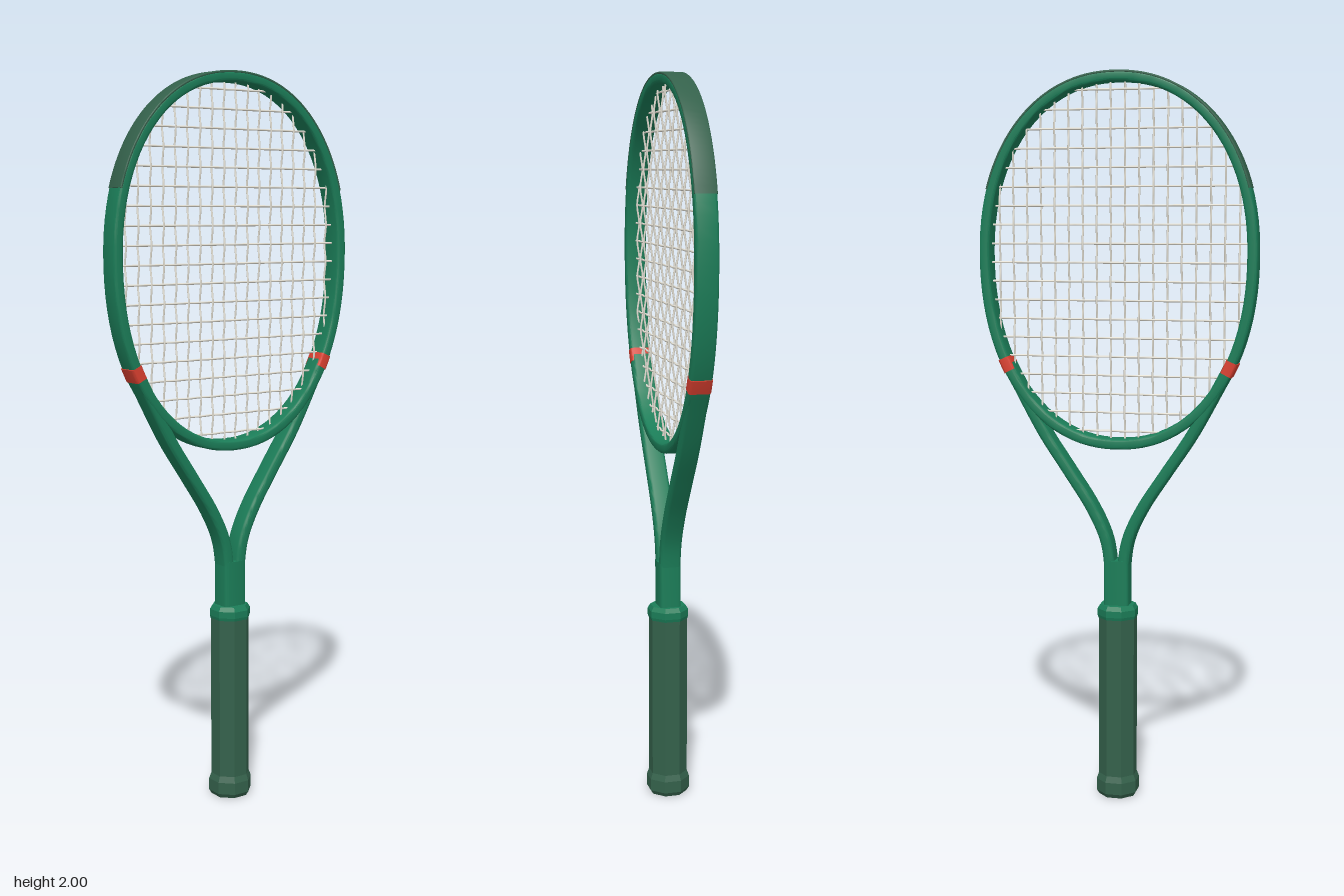
import * as THREE from 'three';
import { toCreasedNormals } from 'three/addons/utils/BufferGeometryUtils.js';

const HEAD = { y: 1.515, rx: 0.369, top: 0.47, bottom: 0.515, power: 2.15 };

// Centreline of the head, an oval slightly fuller than an ellipse
function headPoint(angle) {
  const c = Math.cos(angle), s = Math.sin(angle), n = HEAD.power;
  const r = (Math.abs(c) ** n + Math.abs(s) ** n) ** (-1 / n);
  return new THREE.Vector2(HEAD.rx * c * r, HEAD.y + s * r * (s > 0 ? HEAD.top : HEAD.bottom));
}

// Other coordinate on the oval for a given one, both as fractions of the radii
const ovalReach = (f) => (1 - Math.abs(f) ** HEAD.power) ** (1 / HEAD.power);

function headArc(from, to, steps) {
  return Array.from({ length: steps + 1 }, (_, i) => headPoint(from + ((to - from) * i) / steps));
}

// Rounded rectangle outline, counter-clockwise
function roundedSection(w, d, r) {
  const out = [];
  [[1, 1], [-1, 1], [-1, -1], [1, -1]].forEach(([sx, sy], q) => {
    for (let i = 0; i <= 3; i++) {
      const a = (q + i / 3) * Math.PI / 2;
      out.push([sx * (w / 2 - r) + r * Math.cos(a), sy * (d / 2 - r) + r * Math.sin(a)]);
    }
  });
  return out;
}

// Sweep a rounded bar along a path in the XY plane
function sweep(path, w, d, r, { closed = false, offset = 0 } = {}) {
  const section = roundedSection(w, d, r), m = section.length, n = path.length;
  const pos = [], index = [];
  path.forEach((p, i) => {
    const before = path[closed ? (i + n - 2) % (n - 1) : Math.max(i - 1, 0)];
    const after = path[closed ? (i + 1) % (n - 1) : Math.min(i + 1, n - 1)];
    const t = after.clone().sub(before).normalize();
    for (const [u, v] of section) pos.push(p.x + t.y * (u + offset), p.y - t.x * (u + offset), v);
  });
  for (let i = 0; i < n - 1; i++) {
    for (let k = 0; k < m; k++) {
      const a = i * m + k, b = i * m + (k + 1) % m;
      index.push(a, a + m, b + m, a, b + m, b);
    }
  }
  if (!closed) {
    const e = (n - 1) * m;
    for (let k = 1; k < m - 1; k++) index.push(0, k, k + 1, e, e + k + 1, e + k);
  }
  const g = new THREE.BufferGeometry();
  g.setAttribute('position', new THREE.Float32BufferAttribute(pos, 3));
  g.setIndex(index);
  return toCreasedNormals(g, 0.7);
}

// Eight-sided turned part from [apothem, y] pairs, flat to the front
function octagonal(profile) {
  const k = 1 / Math.cos(Math.PI / 8);
  const pts = profile.map(([r, y]) => new THREE.Vector2(r * k, y));
  return toCreasedNormals(new THREE.LatheGeometry(pts, 8, Math.PI / 8), 0.2);
}

export function createModel() {
  const mat = (name, color) => {
    const m = new THREE.MeshStandardMaterial({ color });
    m.name = name;
    return m;
  };
  const green = mat('frame green', 0x1b7d58);
  const dark = mat('grip dark green', 0x34614b);
  const red = mat('accent red', 0xdb4030);
  const cream = mat('string cream', 0xe8e4d8);

  const root = new THREE.Group();
  root.name = 'racket';
  const add = (name, geometry, material, parent = root) => {
    const mesh = new THREE.Mesh(geometry, material);
    mesh.name = name;
    parent.add(mesh);
  };

  // Head ring and the guard over its top
  add('headFrame', sweep(headArc(0, Math.PI * 2, 96), 0.028, 0.06, 0.007, { closed: true }), green);
  add('bumperGuard', sweep(headArc(0.37, Math.PI - 0.37, 56), 0.007, 0.0605, 0.003, { offset: 0.0115 }), dark);

  // Shaft, throat arms and red bands
  const shaft = [new THREE.Vector2(0, 0.5), new THREE.Vector2(0, 0.675)];
  add('shaft', sweep(shaft, 0.07, 0.06, 0.01), green);
  const bandAngle = -0.61;
  const joint = headPoint(bandAngle);
  const arm = [[0.018, 0.58], [0.019, 0.66], [0.033, 0.74], [0.073, 0.825],
    [0.135, 0.92], [0.208, 1.03], [0.279, 1.16], [joint.x - 0.002, joint.y]];
  for (const [side, name] of [[1, 'left'], [-1, 'right']]) {
    const curve = new THREE.SplineCurve(arm.map(([x, y]) => new THREE.Vector2(x * side, y)));
    add(name + 'ThroatArm', sweep(curve.getPoints(48), 0.031, 0.058, 0.009), green);
    const mid = side > 0 ? bandAngle : Math.PI - bandAngle;
    add(name + 'AccentBand', sweep(headArc(mid - 0.04, mid + 0.04, 4), 0.033, 0.0615, 0.007), red);
  }

  // Handle: octagonal grip with flared butt, and collar
  add('grip', octagonal([[0, 0], [0.049, 0], [0.056, 0.012], [0.056, 0.045], [0.05, 0.062],
    [0.05, 0.52], [0, 0.52]]), dark);
  add('collar', octagonal([[0, 0.512], [0.051, 0.512], [0.053, 0.52], [0.053, 0.538],
    [0.046, 0.55], [0, 0.55]]), green);

  // Woven string bed
  const strings = new THREE.Group();
  strings.name = 'strings';
  root.add(strings);
  const dx = 0.039, dy = 0.051, weave = 0.003, mains = 18, crosses = 19;
  const y0 = 1.493 - dy * (crosses - 1) / 2, x0 = -dx * (mains - 1) / 2;
  const addString = (name, from, to, pointAt) => {
    const pts = Array.from({ length: 41 }, (_, i) => pointAt(from + ((to - from) * i) / 40));
    add(name, new THREE.TubeGeometry(new THREE.CatmullRomCurve3(pts), 80, 0.0028, 6), cream, strings);
  };
  for (let i = 0; i < mains; i++) {
    const x = x0 + i * dx, s = ovalReach(x / HEAD.rx), sign = i % 2 ? -1 : 1;
    addString('mainString', HEAD.y - HEAD.bottom * s, HEAD.y + HEAD.top * s,
      (y) => new THREE.Vector3(x, y, sign * weave * Math.cos(Math.PI * (y - y0) / dy)));
  }
  for (let j = 0; j < crosses; j++) {
    const y = y0 + j * dy, sign = j % 2 ? 1 : -1;
    const half = HEAD.rx * ovalReach((y - HEAD.y) / (y > HEAD.y ? HEAD.top : HEAD.bottom));
    addString('crossString', -half, half,
      (x) => new THREE.Vector3(x, y, sign * weave * Math.cos(Math.PI * (x - x0) / dx)));
  }
  return root;
}
